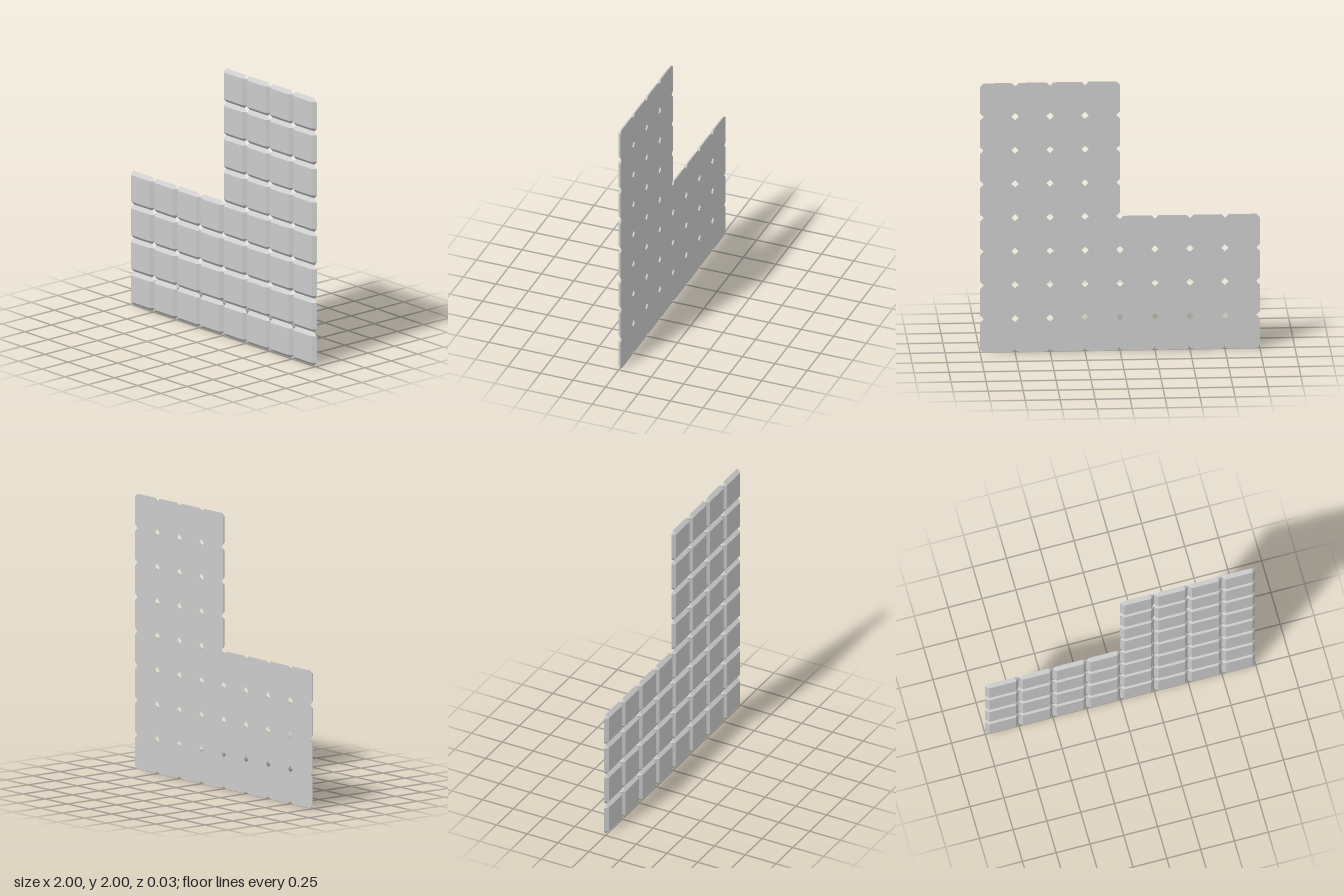
import * as THREE from 'three';
import { ConvexGeometry } from 'three/addons/geometries/ConvexGeometry.js';

const TILE = 0.25, BEVEL = 0.026, DEPTH = 0.026;

// Bevelled tile: octagonal back outline tapering to a smaller square front
function tileGeometry() {
  const h = TILE / 2, i = h - BEVEL, z = DEPTH / 2;
  const points = [];
  for (const sx of [-1, 1]) {
    for (const sy of [-1, 1]) {
      points.push(
        new THREE.Vector3(sx * h, sy * i, -z),
        new THREE.Vector3(sx * i, sy * h, -z),
        new THREE.Vector3(sx * i, sy * i, z)
      );
    }
  }
  return new ConvexGeometry(points);
}

export function createModel() {
  const model = new THREE.Group();
  model.name = 'tiledPanel';
  const geometry = tileGeometry();
  const material = new THREE.MeshStandardMaterial({ color: 0xcccccc, flatShading: true });

  // A square block of 4 x 4 tiles, placed by its lower left corner
  function addBlock(name, x0, y0) {
    const block = new THREE.Group();
    block.name = name;
    block.position.set(x0, y0, 0);
    for (let row = 0; row < 4; row++) {
      for (let col = 0; col < 4; col++) {
        const tile = new THREE.Mesh(geometry, material);
        tile.name = 'tile';
        tile.position.set((col + 0.5) * TILE, (row + 0.5) * TILE, 0);
        block.add(tile);
      }
    }
    model.add(block);
  }

  // Three blocks make the L-shaped panel
  addBlock('lowerRightBlock', -1, 0);
  addBlock('lowerLeftBlock', 0, 0);
  addBlock('upperLeftBlock', 0, 1);
  return model;
}
